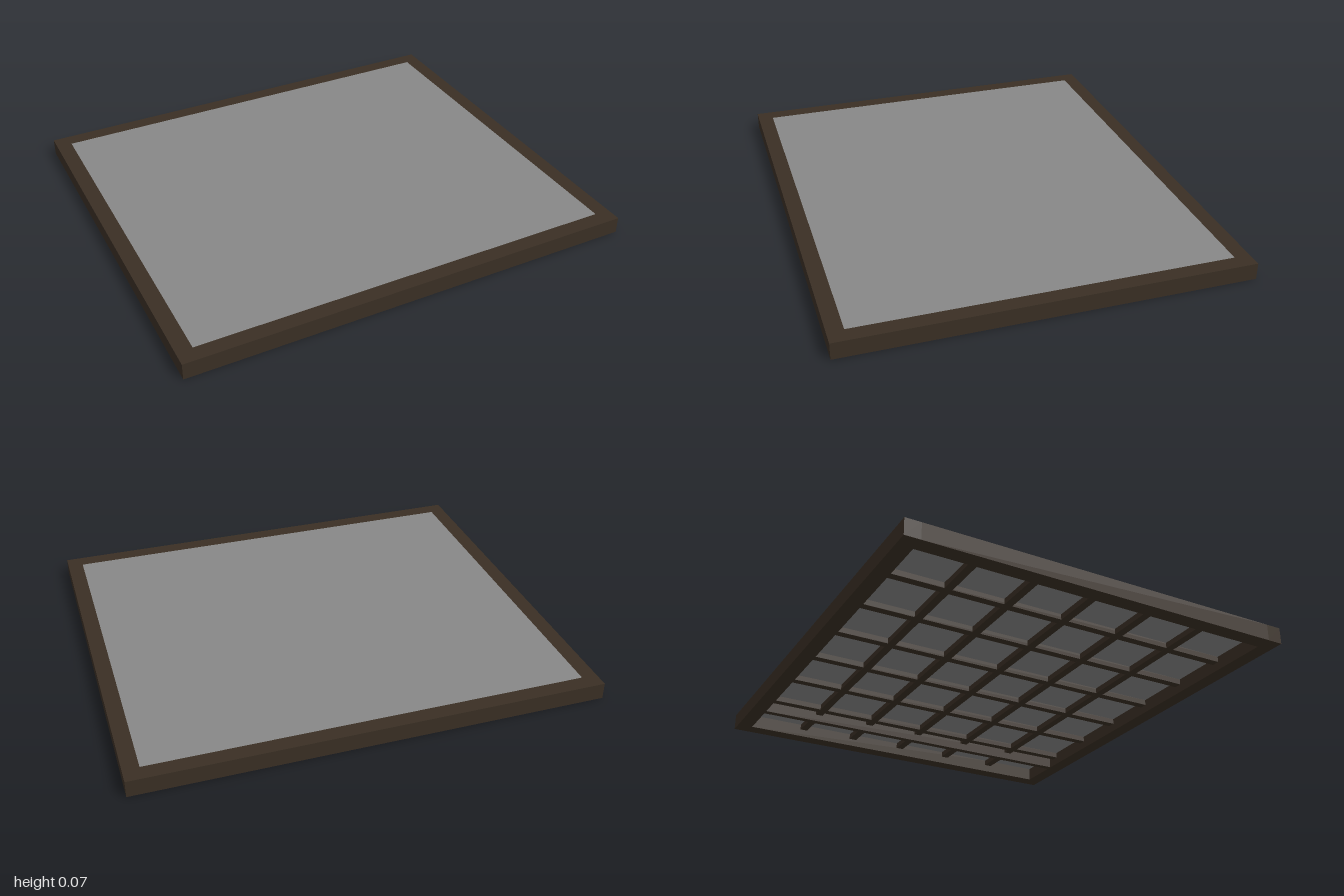
import * as THREE from 'three';

const W = 2, D = 1.73, H = 0.073, RAIL = 0.068;

export function createModel() {
  const model = new THREE.Group();
  const wood = new THREE.MeshStandardMaterial({ color: 0x3a2f24 });
  wood.name = 'dark wood';
  const glass = new THREE.MeshStandardMaterial({ color: 0x878787 });
  glass.name = 'grey pane';

  const box = (name, material, size, position) => {
    const mesh = new THREE.Mesh(new THREE.BoxGeometry(...size), material);
    mesh.name = name;
    mesh.position.set(...position);
    model.add(mesh);
  };

  const innerW = W - 2 * RAIL, innerD = D - 2 * RAIL;

  // Outer frame: long rails front and back, short rails between them
  for (const s of [-1, 1]) {
    box(s > 0 ? 'frontRail' : 'backRail', wood, [W, H, RAIL], [0, H / 2, s * (D - RAIL) / 2]);
    box(s > 0 ? 'leftRail' : 'rightRail', wood, [RAIL, H, innerD], [s * (W - RAIL) / 2, H / 2, 0]);
  }

  // Pane set flush with the top of the frame
  box('pane', glass, [innerW, 0.012, innerD], [0, H - 0.006, 0]);

  // Lattice carrying the pane from below
  const columns = 7, rows = 6, bar = 0.035, barH = 0.025, barY = H - 0.012 - barH / 2;
  for (let i = 1; i < columns; i++) {
    box('latticeCrossBar', wood, [bar, barH, innerD], [innerW * (i / columns - 0.5), barY, 0]);
  }
  for (let j = 1; j < rows; j++) {
    box('latticeLongBar', wood, [innerW, barH, bar], [0, barY - 0.0005, innerD * (j / rows - 0.5)]);
  }

  // Deeper brace across one end of the underside
  box('brace', wood, [0.03, 0.06, innerD], [0.73, 0.032, 0]);

  return model;
}
